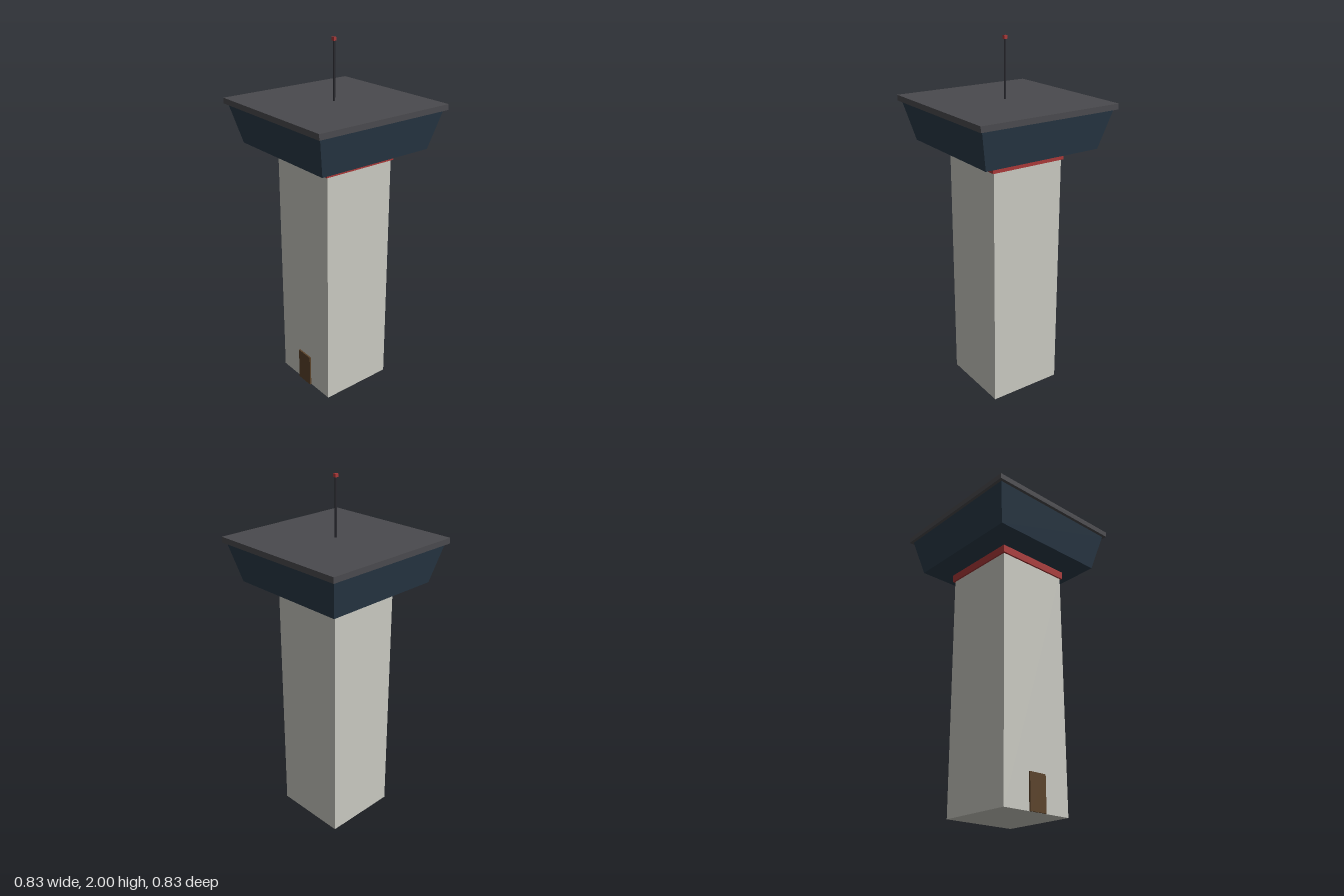
import * as THREE from 'three';

const mat = (name, color, flatShading = false) => {
  const m = new THREE.MeshStandardMaterial({ color, flatShading });
  m.name = name;
  return m;
};

export function createModel() {
  const concrete = mat('concrete', 0xc8c8c0);
  const red = mat('red', 0xa83838);
  const glass = mat('darkGlass', 0x2a3a48, true);
  const roofGrey = mat('roofGrey', 0x4a4a4e);
  const wood = mat('doorBrown', 0x5a422a);
  const metal = mat('mastMetal', 0x2a2a30);

  const tower = new THREE.Group();
  tower.name = 'controlTower';

  const add = (name, geometry, material) => {
    const mesh = new THREE.Mesh(geometry, material);
    mesh.name = name;
    tower.add(mesh);
  };
  // Box given by its width, depth and the heights of its bottom and top
  const block = (name, w, d, y0, y1, material, z = 0) =>
    add(name, new THREE.BoxGeometry(w, y1 - y0, d).translate(0, (y0 + y1) / 2, z), material);

  // Shaft with its door and painted collar
  block('shaft', 0.43, 0.43, 0, 1.385, concrete);
  block('door', 0.106, 0.009, 0, 0.191, wood, 0.2205);
  block('collar', 0.45, 0.45, 1.363, 1.407, red);

  // Cab: square and widening upward, set just above the collar
  const cab = new THREE.CylinderGeometry(0.4 * Math.SQRT2, 0.348 * Math.SQRT2, 0.213, 4)
    .rotateY(Math.PI / 4)
    .translate(0, 1.5365, 0);
  add('cab', cab, glass);

  // Roof slab, mast and warning light
  block('roof', 0.834, 0.834, 1.643, 1.674, roofGrey);
  add('mast', new THREE.CylinderGeometry(0.006, 0.006, 0.31, 8).translate(0, 1.829, 0), metal);
  block('warningLight', 0.018, 0.018, 1.982, 2, red);

  return tower;
}
